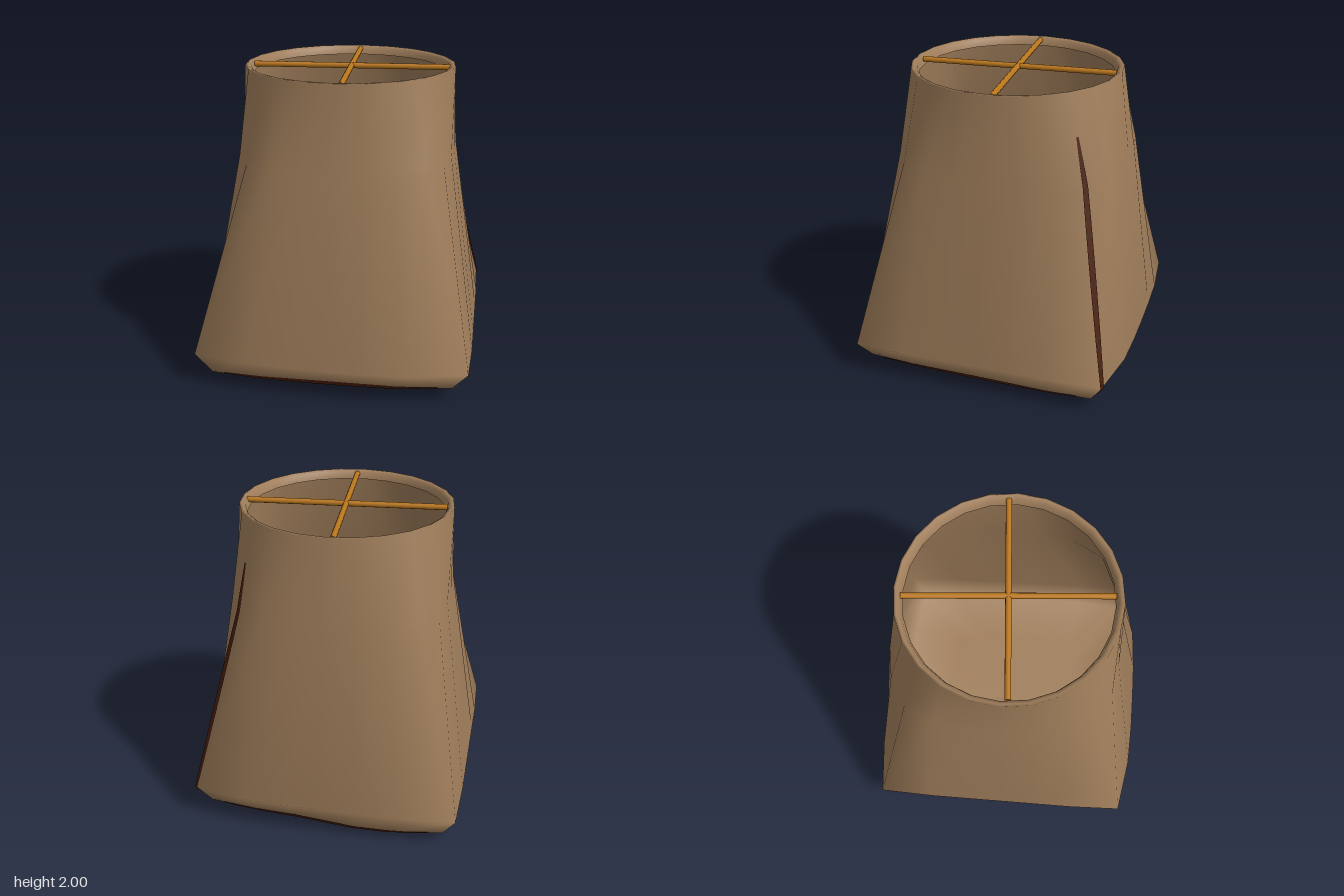
import * as THREE from 'three';

const paper = new THREE.MeshStandardMaterial({ color: 0xa07e5b, side: THREE.DoubleSide });
paper.name = 'brown paper';
const brass = new THREE.MeshStandardMaterial({ color: 0xba771c });
brass.name = 'brass';
const shadowBrown = new THREE.MeshStandardMaterial({ color: 0x4a1f0a, side: THREE.DoubleSide });
shadowBrown.name = 'dark seam';

const SIDES = 24;
// Cross-sections from the floor up: height, half width, half depth, z offset, squareness,
// bow (corners set back in z, right side narrower at the back), floor (uneven heights)
const levels = [
  { y: 0.05, hx: 0, hz: 0, cz: 0, p: 2, bow: 0, floor: 1 },
  { y: 0.05, hx: 0.45, hz: 0.45, cz: 0, p: 12, bow: 0, floor: 1 },
  { y: 0.05, hx: 0.815, hz: 0.815, cz: 0, p: 24, bow: 0.3, floor: 1 },
  { y: 0.21, hx: 0.892, hz: 0.938, cz: 0, p: 50, bow: 1, floor: 0 },
  { y: 1.44, hx: 0.703, hz: 0.745, cz: -0.035, p: 3.2, bow: 0, floor: 0 },
  { y: 1.995, hx: 0.695, hz: 0.695, cz: -0.015, p: 2, bow: 0, floor: 0 },
  { y: 2.0, hx: 0.68, hz: 0.68, cz: -0.015, p: 2, bow: 0, floor: 0 },
  { y: 1.985, hx: 0.656, hz: 0.656, cz: -0.015, p: 2, bow: 0, floor: 0 },
  { y: 1.94, hx: 0.643, hz: 0.643, cz: -0.015, p: 2, bow: 0, floor: 0 },
];

// Corner j of one rounded-square cross-section
function ringPoint({ y, hx, hz, cz, p, bow, floor }, j) {
  const t = (j / SIDES) * Math.PI * 2, c = Math.cos(t), s = Math.sin(t);
  const k = Math.pow(Math.abs(c) ** p + Math.abs(s) ** p, -1 / p);
  const u = c * k, v = s * k;
  const x = hx * u * (u > 0 ? 1 + 0.025 * bow * v : 1);
  const inset = (0.0725 + 0.02 * u + 0.02 * v) * Math.abs(u) ** 3;
  const z = cz + hz * v * (1 - bow * inset);
  const dip = 0.045 * Math.exp(-12 * (x + 0.27) ** 2) / (1 + Math.exp(12 * (z + 0.15)));
  return new THREE.Vector3(x, Math.max(0, y + floor * (0.02 * x + 0.01 * z - dip)), z);
}

// Point on the flat between level i and the next, at a fractional corner number
function wallPoint(i, f, j) {
  const a = Math.floor(j);
  const along = (l) => ringPoint(l, a).lerp(ringPoint(l, a + 1), j - a);
  return along(levels[i]).lerp(along(levels[i + 1]), f);
}

// Skin a grid of points: rows of equal length
function skin(rows) {
  const n = rows[0].length, index = [];
  for (let r = 0; r < rows.length - 1; r++) {
    for (let j = 0; j < n - 1; j++) {
      const a = r * n + j, b = a + 1, c = a + n, d = c + 1;
      index.push(a, c, b, b, c, d);
    }
  }
  const g = new THREE.BufferGeometry().setFromPoints(rows.flat());
  g.setIndex(index);
  g.computeVertexNormals();
  return g;
}

// Shell from floor to rolled rim, with normals joined where the loop closes
function shellGeometry() {
  const g = skin(levels.map((l) => Array.from({ length: SIDES + 1 }, (_, j) => ringPoint(l, j))));
  const n = g.attributes.normal, v = new THREE.Vector3(), w = new THREE.Vector3();
  for (let r = 0; r < levels.length; r++) {
    const a = r * (SIDES + 1), b = a + SIDES;
    v.fromBufferAttribute(n, a).add(w.fromBufferAttribute(n, b)).normalize();
    n.setXYZ(a, v.x, v.y, v.z);
    n.setXYZ(b, v.x, v.y, v.z);
  }
  return g;
}

// Flat strip along a path, tapering at both ends
function strip(name, path, across, width, lift) {
  const last = path.length - 1;
  const rows = path.map((p, i) => {
    const w = width * Math.pow(Math.sin(Math.PI * (0.06 + 0.88 * i / last)), 0.6) / 2;
    const o = p.clone().add(lift);
    return [o.clone().addScaledVector(across, -w), o.clone().addScaledVector(across, w)];
  });
  const m = new THREE.Mesh(skin(rows), shadowBrown);
  m.name = name;
  return m;
}

// Straight round rod between two points
function rod(name, a, b, radius) {
  const d = b.clone().sub(a);
  const m = new THREE.Mesh(new THREE.CylinderGeometry(radius, radius, d.length(), 10), brass);
  m.position.copy(a).add(b).multiplyScalar(0.5);
  m.quaternion.setFromUnitVectors(new THREE.Vector3(0, 1, 0), d.normalize());
  m.name = name;
  return m;
}

export function createModel() {
  const group = new THREE.Group();
  group.name = 'shade';

  const shell = new THREE.Mesh(shellGeometry(), paper);
  shell.name = 'shell';
  group.add(shell);

  // Crossed rods in the opening
  const V = (x, y, z) => new THREE.Vector3(x, y, z);
  group.add(rod('crossRod', V(-0.645, 1.978, 0.03), V(0.655, 1.978, -0.07), 0.019));
  group.add(rod('longRod', V(-0.045, 1.978, -0.665), V(0.055, 1.978, 0.625), 0.019));

  // Open seam down the back corner, closing towards the top
  const path = [wallPoint(2, 0.6, 21)];
  for (let k = 0; k <= 8; k++) path.push(wallPoint(3, k / 8, 21));
  for (let k = 1; k <= 3; k++) path.push(wallPoint(4, k * 0.18, 21));
  group.add(strip('cornerSeam', path, V(0.707, 0, 0.707), 0.044, V(0.003, 0, -0.003)));

  // Open seams along the lower edges: front, right-hand and back
  for (const [name, mid] of [['frontSeam', 6], ['sideSeam', 24], ['backSeam', 18]]) {
    const pts = [];
    for (let k = 0; k <= 12; k++) pts.push(wallPoint(2, 0.1, mid + (k / 12 - 0.5) * 5.4));
    const t = (mid / SIDES) * Math.PI * 2;
    const out = V(Math.cos(t), 0, Math.sin(t));
    const up = out.clone().multiplyScalar(0.55).add(V(0, 0.83, 0));
    group.add(strip(name, pts, up, 0.048, out.multiplyScalar(0.005).add(V(0, -0.003, 0))));
  }
  return group;
}
